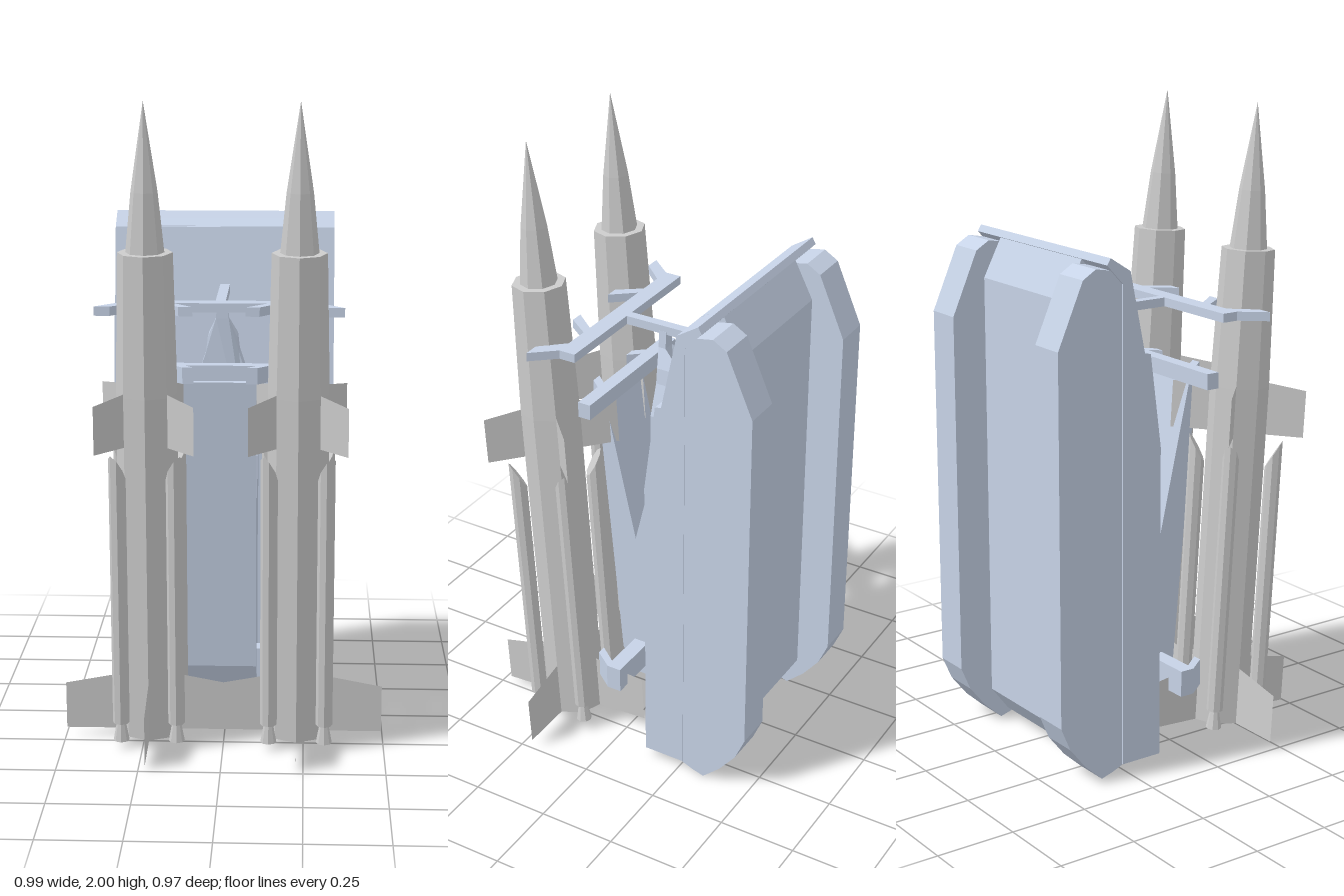
import * as THREE from 'three';

const steel = new THREE.MeshStandardMaterial({ color: 0xc6d2e6, flatShading: true, side: THREE.DoubleSide });
const grey = new THREE.MeshStandardMaterial({ color: 0xcccccc, flatShading: true, side: THREE.DoubleSide });
const MID = -0.0125; // centre line of the carrier

function add(parent, name, geometry, material) {
  const mesh = new THREE.Mesh(geometry, material);
  mesh.name = name;
  parent.add(mesh);
  return mesh;
}

function extrude(points, depth) {
  const shape = new THREE.Shape(points.map(p => new THREE.Vector2(p[0], p[1])));
  return new THREE.ExtrudeGeometry(shape, { depth, bevelEnabled: false });
}

// side profile of [z, y] points, running from x0 to x1
const sideProfile = (points, x0, x1) => extrude(points, x1 - x0).rotateY(-Math.PI / 2).translate(x1, 0, 0);

// plan outline of [x, z] points, running from y0 to y1
const plan = (points, y0, y1) => extrude(points, y1 - y0).rotateX(Math.PI / 2).translate(0, y1, 0);

// both mirrored copies of a plan outline about the carrier's centre line
function planPair(parent, name, points, y0, y1) {
  for (const s of [-1, 1]) {
    add(parent, name, plan(points.map(([x, z]) => [MID + s * x, z]), y0, y1), steel);
  }
}

// flat fin of [radius, height] points at an angle around the axis
function fin(parent, name, points, angle) {
  const shape = new THREE.Shape(points.map(p => new THREE.Vector2(p[0], p[1])));
  add(parent, name, new THREE.ShapeGeometry(shape).rotateY(angle), grey);
}

function boosterGeometry() {
  const low = 0.06, high = 0.885, r = 0.026;
  const g = new THREE.CylinderGeometry(r, r, high - low, 8).rotateY(Math.PI / 2);
  g.translate(0, (high + low) / 2, 0);
  // slanted top, highest on the outer (+x) side
  const p = g.attributes.position;
  for (let i = 0; i < p.count; i++) {
    if (p.getY(i) > high - 0.01) p.setY(i, high + (p.getX(i) / r) * 0.045);
  }
  return g;
}

function createMissile() {
  const g = new THREE.Group();
  g.name = 'missile';
  const profile = [[0, 0], [0.093, 0], [0.093, 1.1], [0.083, 1.53], [0.058, 1.53], [0.04, 1.71], [0, 1.976]];
  add(g, 'missileBody', new THREE.LatheGeometry(profile.map(p => new THREE.Vector2(...p)), 8), grey);

  for (let i = 0; i < 4; i++) {
    const straight = i * Math.PI / 2, diagonal = straight + Math.PI / 4;
    fin(g, 'tailFin', [[0.05, 0], [0.267, 0], [0.267, 0.152], [0.085, 0.187], [0.05, 0.187]], straight);
    fin(g, 'midFin', [[0.05, 0.945], [0.21, 0.945], [0.21, 1.095], [0.085, 1.112], [0.05, 1.112]], diagonal);

    const booster = new THREE.Group();
    booster.name = 'booster';
    booster.rotation.y = diagonal;
    const tube = add(booster, 'boosterTube', boosterGeometry(), grey);
    tube.position.x = 0.122;
    const nozzle = add(booster, 'boosterNozzle', new THREE.CylinderGeometry(0.013, 0.025, 0.065, 8), grey);
    nozzle.position.set(0.122, 0.033, 0);
    g.add(booster);
  }
  return g;
}

function createHull() {
  const g = new THREE.Group();
  g.name = 'hull';
  // full-width upper hull with stepped nose plate
  add(g, 'upperHull', sideProfile([
    [-0.127, 0.03], [-0.127, 1.02], [-0.165, 1.31], [-0.186, 1.315], [-0.238, 1.565],
    [-0.308, 1.61], [-0.32, 1.59], [-0.265, 1.53], [-0.265, 0.03]
  ], -0.367, 0.338), steel);
  // narrower belly between the tracks
  add(g, 'lowerHull', sideProfile([
    [-0.2, 0.03], [-0.2, 1.34], [-0.241, 1.568], [-0.308, 1.609],
    [-0.38, 1.47], [-0.38, 0.11], [-0.32, 0.03]
  ], -0.235, 0.207), steel);
  // tracks
  const track = [
    [-0.255, 0.03], [-0.255, 1.53], [-0.29, 1.57], [-0.355, 1.582], [-0.4, 1.555], [-0.487, 1.357],
    [-0.487, 0.2], [-0.455, 0.125], [-0.4, 0.055], [-0.34, 0], [-0.3, 0.012]
  ];
  add(g, 'rightTrack', sideProfile(track, -0.361, -0.243), steel);
  add(g, 'leftTrack', sideProfile(track, 0.217, 0.336), steel);
  return g;
}

function createLauncher() {
  const g = new THREE.Group();
  g.name = 'launcher';
  // turntable and raised support arm
  add(g, 'launcherArm', sideProfile([
    [-0.08, 0.115], [-0.08, 0.645], [-0.13, 0.645], [-0.13, 0.865], [0, 0.865], [0.053, 0.645],
    [0.165, 1.14], [0.19, 1.14], [0.105, 0.2], [0.07, 0.115]
  ], -0.125, 0.098), steel);

  // tapered post, drawn in towards the front at its top
  const half = [[0.086, 0.85], [0.086, 1.1], [0.052, 1.2], [0.046, 1.25], [0.02, 1.31], [0.016, 1.365]];
  const outline = [...half, ...half.map(([x, y]) => [-x, y]).reverse()];
  const post = extrude(outline, 0.09).translate(MID, 0, -0.08);
  const p = post.attributes.position;
  for (let i = 0; i < p.count; i++) {
    if (p.getY(i) > 1.29) p.setZ(i, p.getZ(i) < -0.04 ? -0.005 : 0.02);
  }
  add(g, 'post', post, steel);

  // upper yoke: stem, crossbar and forked arms
  const top = [1.357, 1.385];
  add(g, 'upperStem', plan([[-0.028, -0.205], [0.003, -0.205], [0.003, 0.14], [-0.028, 0.14]], ...top), steel);
  add(g, 'upperCrossbar', plan([[-0.325, 0.137], [0.3, 0.137], [0.3, 0.192], [-0.325, 0.192]], ...top), steel);
  planPair(g, 'upperOuterArm', [[0.312, 0.19], [0.377, 0.266], [0.328, 0.266], [0.257, 0.19]], ...top);
  planPair(g, 'upperInnerArm', [[0.178, 0.19], [0.122, 0.266], [0.08, 0.266], [0.143, 0.19]], ...top);

  // middle yoke
  const middle = [1.137, 1.188];
  add(g, 'middleCrossbar', plan([[-0.27, 0.122], [0.245, 0.122], [0.245, 0.165], [-0.27, 0.165]], ...middle), steel);
  planPair(g, 'middleInnerArm', [[0.15, 0.16], [0.115, 0.2], [0.08, 0.2], [0.115, 0.16]], ...middle);

  // lower yoke
  const low = [0.16, 0.245];
  add(g, 'lowerCrossbar', plan([[-0.297, 0.01], [0.272, 0.01], [0.272, 0.06], [-0.297, 0.06]], ...low), steel);
  planPair(g, 'lowerArm', [[0.284, 0.058], [0.255, 0.058], [0.205, 0.122], [0.236, 0.122]], ...low);
  return g;
}

export function createModel() {
  const model = new THREE.Group();
  model.name = 'missileCarrier';
  model.add(createHull(), createLauncher());
  // pair of missiles, leaning slightly forward
  for (const x of [-0.23, 0.228]) {
    const missile = createMissile();
    missile.position.set(x, 0.028, 0.212);
    missile.rotation.x = 0.062;
    model.add(missile);
  }
  return model;
}
